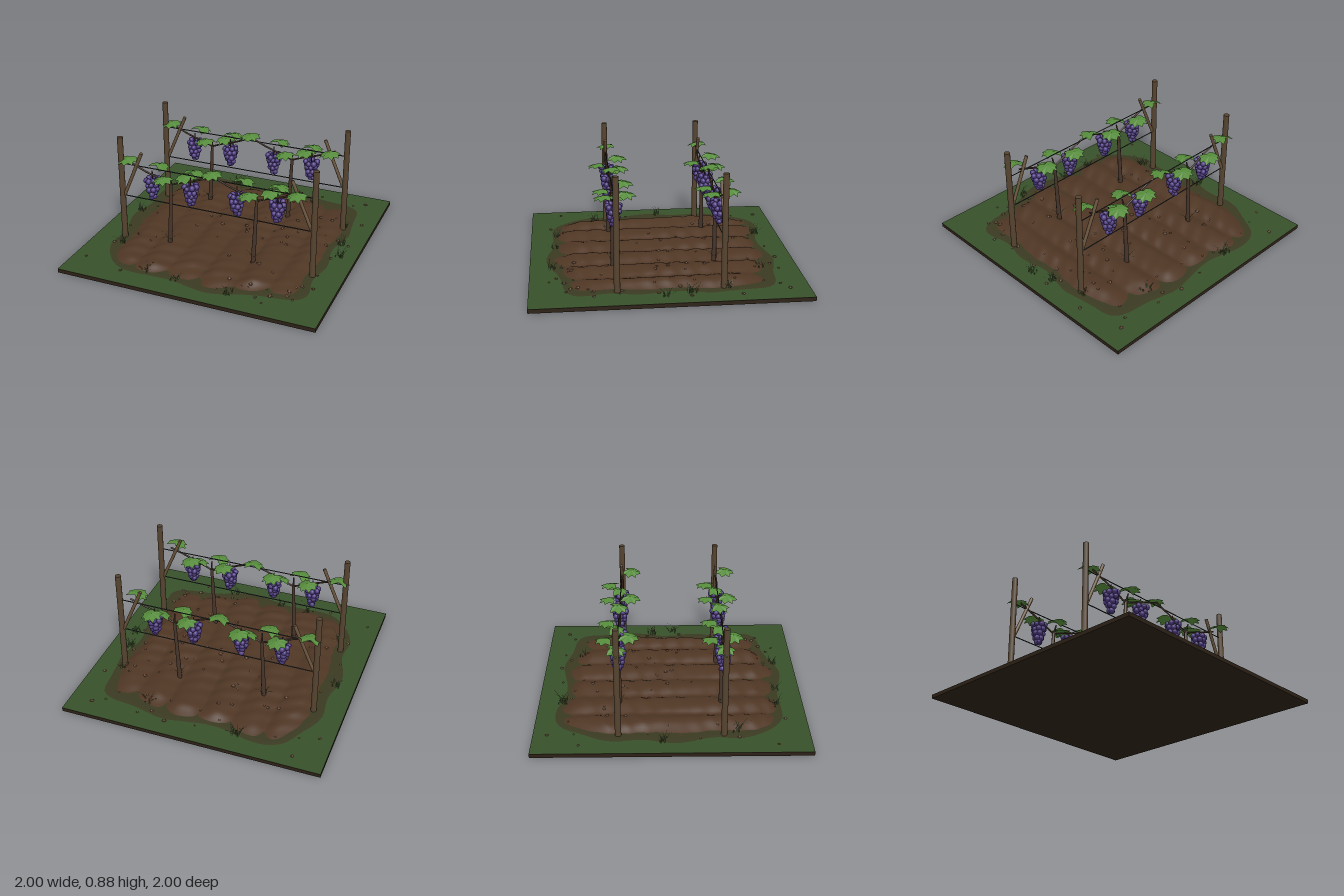
import * as THREE from 'three';
import { mergeGeometries } from 'three/addons/utils/BufferGeometryUtils.js';

const mat = (color, opts = {}) => new THREE.MeshStandardMaterial({ color, ...opts });
const V = (x, y, z) => new THREE.Vector3(x, y, z);

const M = {
  base: mat(0x2c2117), grass: mat(0x37502a), fringe: mat(0x3a3a22), soil: mat(0x4f3624),
  clod: mat(0x6b4a33, { flatShading: true }), post: mat(0x55432f), brace: mat(0x66513a),
  trunk: mat(0x46352a), wire: mat(0x262b2a), grape: mat(0x4d3a80),
  leaf: mat(0x568c3c, { flatShading: true, side: THREE.DoubleSide }),
  blade: mat(0x557038, { side: THREE.DoubleSide }),
};

let seed = 7;
const rand = (a = 0, b = 1) => {
  seed = (seed * 16807) % 2147483647;
  return a + (b - a) * (seed / 2147483647);
};

function mesh(name, geometry, material) {
  const m = new THREE.Mesh(geometry, material);
  m.name = name;
  return m;
}

// straight round bar between two points
function bar(a, b, r0, r1 = r0, sides = 10) {
  const g = new THREE.CylinderGeometry(r1, r0, a.distanceTo(b), sides);
  const q = new THREE.Quaternion().setFromUnitVectors(V(0, 1, 0), b.clone().sub(a).normalize());
  const mid = a.clone().add(b).multiplyScalar(0.5);
  return g.applyMatrix4(new THREE.Matrix4().compose(mid, q, V(1, 1, 1)));
}

// triangles from points and an index list
function surface(points, index) {
  const g = new THREE.BufferGeometry().setFromPoints(points);
  g.setIndex(index);
  g.computeVertexNormals();
  return g;
}

// 1 inside the rounded soil patch, fading to 0 outside the given reach
function patch(x, z, reach, fade) {
  const d = Math.pow(Math.pow(Math.abs(x), 5) + Math.pow(Math.abs(z), 5), 0.2)
    + 0.025 * Math.sin(9 * x + 4 * z) + 0.02 * Math.sin(13 * z - 5 * x);
  return 1 - THREE.MathUtils.smoothstep(d, reach - fade, reach);
}
// furrowed soil: ridges run along z
function soilHeight(x, z) {
  const ridge = Math.abs(Math.cos(Math.PI * (x - 0.02 + 0.13) / 0.26));
  const lumps = 0.004 * Math.sin(31 * x + 17 * z) * Math.sin(23 * z - 9 * x) + 0.003 * Math.sin(47 * z + 20 * x);
  return 0.02 + patch(x, z, 0.85, 0.2) * (0.018 + 0.038 * ridge + lumps);
}
function terrain(size, segments, height) {
  const g = new THREE.PlaneGeometry(size, size, segments, segments).rotateX(-Math.PI / 2);
  const p = g.attributes.position;
  for (let i = 0; i < p.count; i++) p.setY(i, height(p.getX(i), p.getZ(i)));
  g.computeVertexNormals();
  return g;
}

// lobed leaf folded along its midrib, tip towards +z
function leafGeometry() {
  const half = [[0, 0.085], [0.028, 0.055], [0.058, 0.06], [0.056, 0.025], [0.085, 0.005],
    [0.062, -0.025], [0.062, -0.062], [0.025, -0.052], [0, -0.035]];
  const rim = [...half, ...half.slice(1, -1).reverse().map(([x, z]) => [-x, z])];
  const points = [V(0, 0.012, 0), ...rim.map(([x, z], i) =>
    V(x, 0.008 - 0.3 * Math.abs(x) - 2 * z * z + (i % 2 ? 0.006 : 0), z))];
  const index = rim.flatMap((_, i) => [0, 1 + i, 1 + (i + 1) % rim.length]);
  return surface(points, index);
}

// narrow bent blade of grass
function blade(x, y, z, angle, length, lean, width) {
  const points = [];
  for (let i = 0; i <= 3; i++) {
    const t = i / 3, w = width * (1 - t);
    const out = length * lean * t * t, up = length * (t - 0.25 * lean * t * t);
    points.push(V(-w, up, out), V(w, up, out));
  }
  const index = [0, 2, 4].flatMap((k) => [k, k + 1, k + 2, k + 1, k + 3, k + 2]);
  return surface(points, index).rotateY(angle).translate(x, y, z);
}
function tuft(x, z, height, count) {
  const y = Math.max(0.03, soilHeight(x, z)) - 0.005;
  return Array.from({ length: count }, (_, i) => blade(
    x + rand(-0.03, 0.03), y, z + rand(-0.03, 0.03), i * 2.4 + rand(0, 0.6),
    height * rand(0.6, 1.15), rand(0.3, 1), 0.005));
}

// hanging bunch: rings of berries that narrow downwards
function bunchGeometry() {
  const rings = [[0.575, 0.046, 7], [0.54, 0.04, 7], [0.505, 0.034, 6], [0.47, 0.024, 5], [0.438, 0.011, 3]];
  const parts = [];
  rings.forEach(([y, r, n], k) => {
    for (let i = 0; i < n; i++) {
      const a = (i / n) * Math.PI * 2 + k * 0.5;
      parts.push(new THREE.SphereGeometry(rand(0.019, 0.024), 10, 8)
        .translate(r * Math.cos(a), y + rand(-0.008, 0.008), r * Math.sin(a)));
    }
  });
  return mergeGeometries(parts);
}

function createRow(name) {
  const row = new THREE.Group();
  row.name = name;
  // end posts with slanting braces
  for (const s of [-1, 1]) {
    row.add(mesh('post', bar(V(s * 0.77, 0.02, 0), V(s * 0.77, 0.88, 0), 0.023, 0.022, 12), M.post));
    row.add(mesh('brace', bar(V(s * 0.755, 0.4, 0), V(s * 0.595, 0.775, 0), 0.013), M.brace));
  }
  for (const y of [0.4, 0.667]) {
    row.add(mesh('wire', bar(V(-0.77, y, 0), V(0.77, y, 0), 0.004, 0.004, 6), M.wire));
  }
  // vines: leaning trunk, two arms and a short shoot
  for (const x of [-0.355, 0.33]) {
    row.add(mesh('trunk', bar(V(x - 0.025, 0.03, 0), V(x, 0.57, 0), 0.019, 0.012, 8), M.trunk));
    row.add(mesh('shoot', bar(V(x, 0.56, 0), V(x + 0.005, 0.63, 0.02), 0.008, 0.005, 6), M.trunk));
    for (const s of [-1, 1]) {
      const curve = new THREE.CatmullRomCurve3([V(x, 0.56, 0), V(x + s * 0.07, 0.59, 0),
        V(x + s * 0.2, 0.635, 0.008), V(x + s * 0.35, 0.695, 0)]);
      row.add(mesh('arm', new THREE.TubeGeometry(curve, 12, 0.007, 6), M.trunk));
    }
  }
  // grape bunches on stems
  for (const x of [-0.51, -0.195, 0.175, 0.49]) {
    const bunch = mesh('grapeBunch', bunchGeometry(), M.grape);
    bunch.position.x = x;
    row.add(bunch);
    row.add(mesh('bunchStem', bar(V(x, 0.57, 0), V(x, 0.65, 0), 0.004, 0.004, 6), M.trunk));
  }
  // leaves: x, y, z, turn
  const leaves = [[-0.72, 0.7, -0.01, 0.1], [-0.49, 0.66, -0.085, 2.8], [-0.39, 0.63, 0.075, -0.3],
    [-0.25, 0.625, -0.03, 0.4], [-0.2, 0.655, -0.08, 2.9], [-0.03, 0.7, -0.01, 0.1],
    [0.2, 0.66, -0.085, 2.8], [0.29, 0.63, 0.075, -0.3], [0.43, 0.63, -0.025, 0.4],
    [0.475, 0.66, -0.085, 2.9], [0.655, 0.7, 0.075, -0.3]];
  const geometry = leafGeometry();
  for (const [x, y, z, turn] of leaves) {
    const leaf = mesh('leaf', geometry, M.leaf);
    leaf.position.set(x, y, z);
    leaf.rotation.set(0.12, turn, 0.08, 'YXZ');
    row.add(leaf);
  }
  return row;
}

export function createModel() {
  const model = new THREE.Group();
  model.name = 'vineyardPlot';

  // ground slab, turf, earthy border and furrowed soil
  const base = mesh('groundSlab', new THREE.BoxGeometry(2, 0.03, 2), M.base);
  base.position.y = 0.015;
  model.add(base);
  model.add(mesh('turf', terrain(2, 1, () => 0.032), M.grass));
  model.add(mesh('soilBorder', terrain(1.96, 60, (x, z) => 0.02 + 0.015 * patch(x, z, 0.92, 0.12)), M.fringe));
  model.add(mesh('furrowedSoil', terrain(1.9, 100, soilHeight), M.soil));

  // loose clods
  const clods = [];
  for (let i = 0; i < 90; i++) {
    const x = rand(-0.9, 0.9), z = rand(-0.9, 0.9), r = rand(0.006, 0.016);
    clods.push(new THREE.IcosahedronGeometry(r, 0).scale(1.2, 0.7, 1).rotateY(rand(0, 6))
      .translate(x, Math.max(0.034, soilHeight(x, z)), z));
  }
  model.add(mesh('clods', mergeGeometries(clods), M.clod));

  // grass tufts: x, z, height, blades
  const tufts = [[-0.31, -0.82, 0.1, 16], [0.43, -0.72, 0.07, 8], [-0.85, -0.06, 0.09, 11], [0.83, -0.15, 0.1, 14],
    [0.87, 0.03, 0.09, 10], [-0.73, 0.47, 0.1, 12], [-0.38, 0.78, 0.08, 8], [-0.13, 0.82, 0.07, 7],
    [0.29, 0.84, 0.09, 10], [0.77, -0.42, 0.08, 9]];
  model.add(mesh('grassTufts', mergeGeometries(tufts.flatMap((t) => tuft(...t))), M.blade));

  // two trellised rows
  for (const [name, z] of [['frontRow', 0.377], ['backRow', -0.385]]) {
    const row = createRow(name);
    row.position.z = z;
    model.add(row);
    // low sprouts round the trunk feet
    const sprouts = [-0.38, 0.305].flatMap((x) => [0, 1, 2, 3, 4].map((i) =>
      blade(x, 0.06, z, i * 1.26 + 0.7, 0.1, 0.85, 0.006)));
    model.add(mesh('trunkSprouts', mergeGeometries(sprouts), M.blade));
  }
  return model;
}
